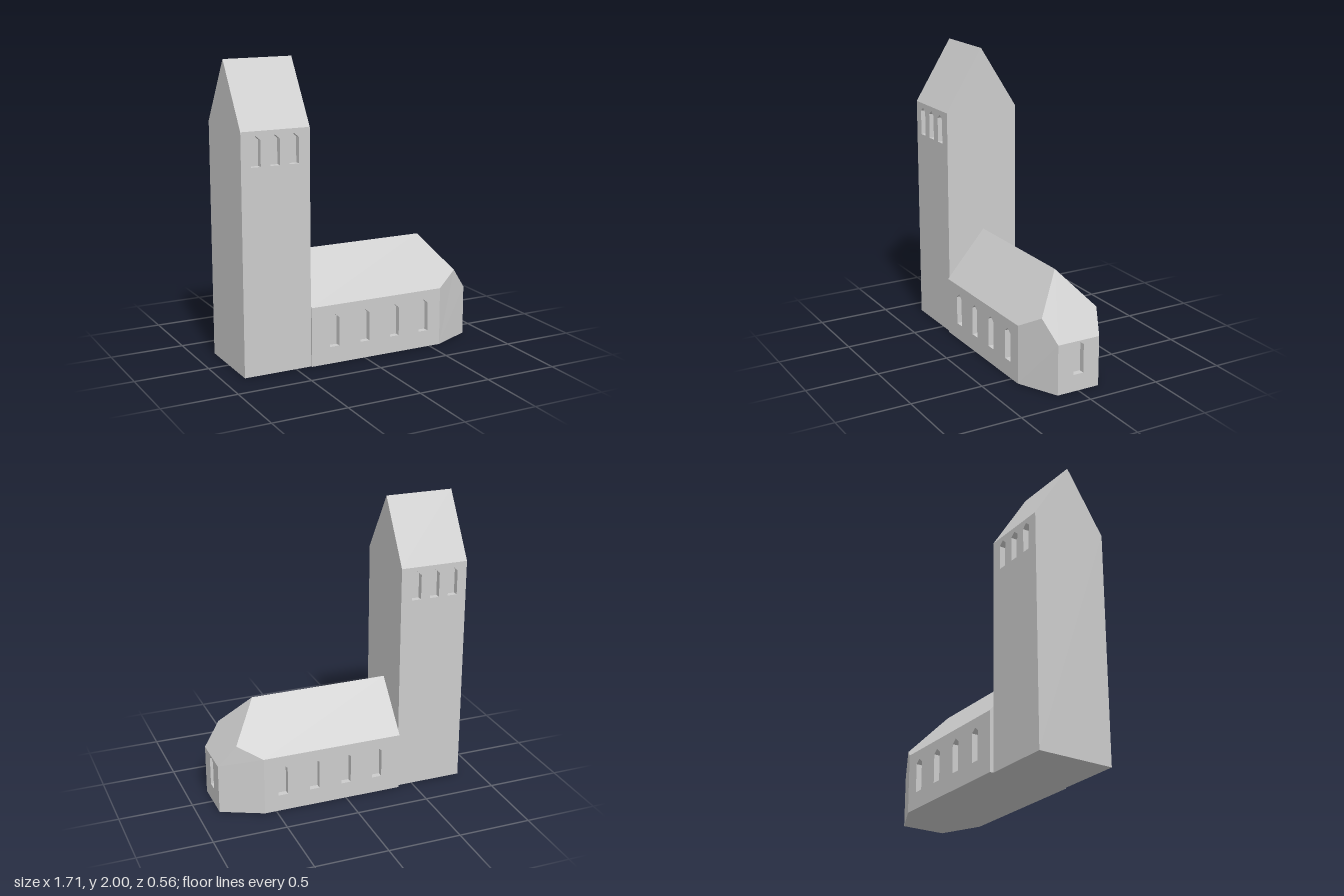
import * as THREE from 'three';
import { mergeGeometries } from 'three/addons/utils/BufferGeometryUtils.js';

const stone = new THREE.MeshStandardMaterial({ color: 0xcccccc });
stone.name = 'pale stone';
const NICHE = 0.04;

// Flat convex polygon, corners counter-clockwise seen from outside
function polygon(points) {
  const pos = [];
  for (let i = 1; i < points.length - 1; i++) pos.push(...points[0], ...points[i], ...points[i + 1]);
  const g = new THREE.BufferGeometry();
  g.setAttribute('position', new THREE.Float32BufferAttribute(pos, 3));
  g.computeVertexNormals();
  return g;
}

// Mirror a polygon across an axis, keeping it facing outward
const mirror = (points, axis) =>
  points.map((p) => p.map((v, i) => (i === axis ? -v : v))).reverse();

function add(group, name, ...geometries) {
  const mesh = new THREE.Mesh(mergeGeometries(geometries), stone);
  mesh.name = name;
  group.add(mesh);
}

// Pointed window outline, counter-clockwise
const windowOutline = (x, w, y0, y1) => [
  [x - w / 2, y0], [x + w / 2, y0], [x + w / 2, y1 - 0.028], [x, y1], [x - w / 2, y1 - 0.028],
];

// Rectangular wall facing local +z with recessed pointed windows
function windowWall(group, name, x0, x1, height, windows) {
  const corners = [[x0, 0], [x1, 0], [x1, height], [x0, height]];
  const shape = new THREE.Shape(corners.map((p) => new THREE.Vector2(...p)));
  const recesses = [];
  for (const outline of windows) {
    shape.holes.push(new THREE.Path(outline.map((p) => new THREE.Vector2(...p))));
    recesses.push(polygon(outline.map(([x, y]) => [x, y, -NICHE])));
    outline.forEach((a, i) => {
      const b = outline[(i + 1) % outline.length];
      recesses.push(polygon([[...a, 0], [...b, 0], [...b, -NICHE], [...a, -NICHE]]));
    });
  }
  const wall = new THREE.Group();
  wall.name = name;
  add(wall, name + 'Face', new THREE.ShapeGeometry(shape));
  add(wall, name + 'WindowRecesses', ...recesses);
  group.add(wall);
  return wall;
}

function createTower() {
  const tower = new THREE.Group();
  tower.name = 'tower';
  const hx = 0.234, hz = 0.264, eave = 1.58, ridge = 2;

  // Front and back walls with three belfry windows each
  for (const side of [1, -1]) {
    const outlines = [-0.13, 0, 0.13].map((x) => windowOutline(x - 0.005 * side, 0.066, 1.355, 1.55));
    const wall = windowWall(tower, side > 0 ? 'towerFrontWall' : 'towerBackWall', -hx, hx, eave, outlines);
    wall.position.z = side * hz;
    if (side < 0) wall.rotation.y = Math.PI;
  }
  // Gabled end walls
  const gable = [[hx, 0, hz], [hx, 0, -hz], [hx, eave, -hz], [hx, ridge, 0], [hx, eave, hz]];
  add(tower, 'towerGables', polygon(gable), polygon(mirror(gable, 0)));
  // Steep saddle roof
  const slope = [[-hx, eave, hz], [hx, eave, hz], [hx, ridge, 0], [-hx, ridge, 0]];
  add(tower, 'towerRoof', polygon(slope), polygon(mirror(slope, 2)));
  add(tower, 'towerBase', polygon([[-hx, 0, -hz], [hx, 0, -hz], [hx, 0, hz], [-hx, 0, hz]]));

  tower.position.set(-0.625, 0, 0.007);
  return tower;
}

function createNave() {
  const nave = new THREE.Group();
  nave.name = 'nave';
  const x0 = -0.391, x1 = 0.58, x2 = 0.855; // west end, bend, apse end
  const hz = 0.282, az = 0.152;             // half widths of nave and apse
  const eave = 0.4, ridge = 0.725, apseTop = 0.34;
  const hip = [0.74, 0.49, 0.203], ridgeEnd = [0.56, ridge, 0];
  const hipBack = [hip[0], hip[1], -hip[2]];

  // Long walls with four windows each
  for (const side of [1, -1]) {
    const outlines = [-0.225, 0, 0.225, 0.45].map((x) => windowOutline(x * side, 0.068, 0.115, 0.338));
    const ends = side > 0 ? [x0, x1] : [-x1, -x0];
    const wall = windowWall(nave, side > 0 ? 'naveFrontWall' : 'naveBackWall', ...ends, eave, outlines);
    wall.position.z = side * hz;
    if (side < 0) wall.rotation.y = Math.PI;
  }
  // Apse: end wall with one window and two slanted walls
  const end = windowWall(nave, 'apseEndWall', -az, az, apseTop, [windowOutline(0, 0.074, 0.115, 0.338)]);
  end.rotation.y = Math.PI / 2;
  end.position.x = x2;
  const slanted = [[x1, 0, hz], [x2, 0, az], [x2, apseTop, az], hip, [x1, eave, hz]];
  add(nave, 'apseSlantedWalls', polygon(slanted), polygon(mirror(slanted, 2)));

  // Saddle roof with a hipped apse end
  const slope = [[x0, eave, hz], [x1, eave, hz], hip, ridgeEnd, [x0, ridge, 0]];
  add(nave, 'naveRoof', polygon(slope), polygon(mirror(slope, 2)));
  add(nave, 'apseRoof', polygon([ridgeEnd, hip, [x2, apseTop, az], [x2, apseTop, -az], hipBack]));

  // West end and underside
  add(nave, 'naveWestWall', polygon([[x0, 0, -hz], [x0, 0, hz], [x0, eave, hz], [x0, ridge, 0], [x0, eave, -hz]]));
  add(nave, 'naveBase', polygon([[x0, 0, -hz], [x1, 0, -hz], [x2, 0, -az], [x2, 0, az], [x1, 0, hz], [x0, 0, hz]]));
  return nave;
}

export function createModel() {
  const church = new THREE.Group();
  church.name = 'church';
  church.add(createTower(), createNave());
  return church;
}
